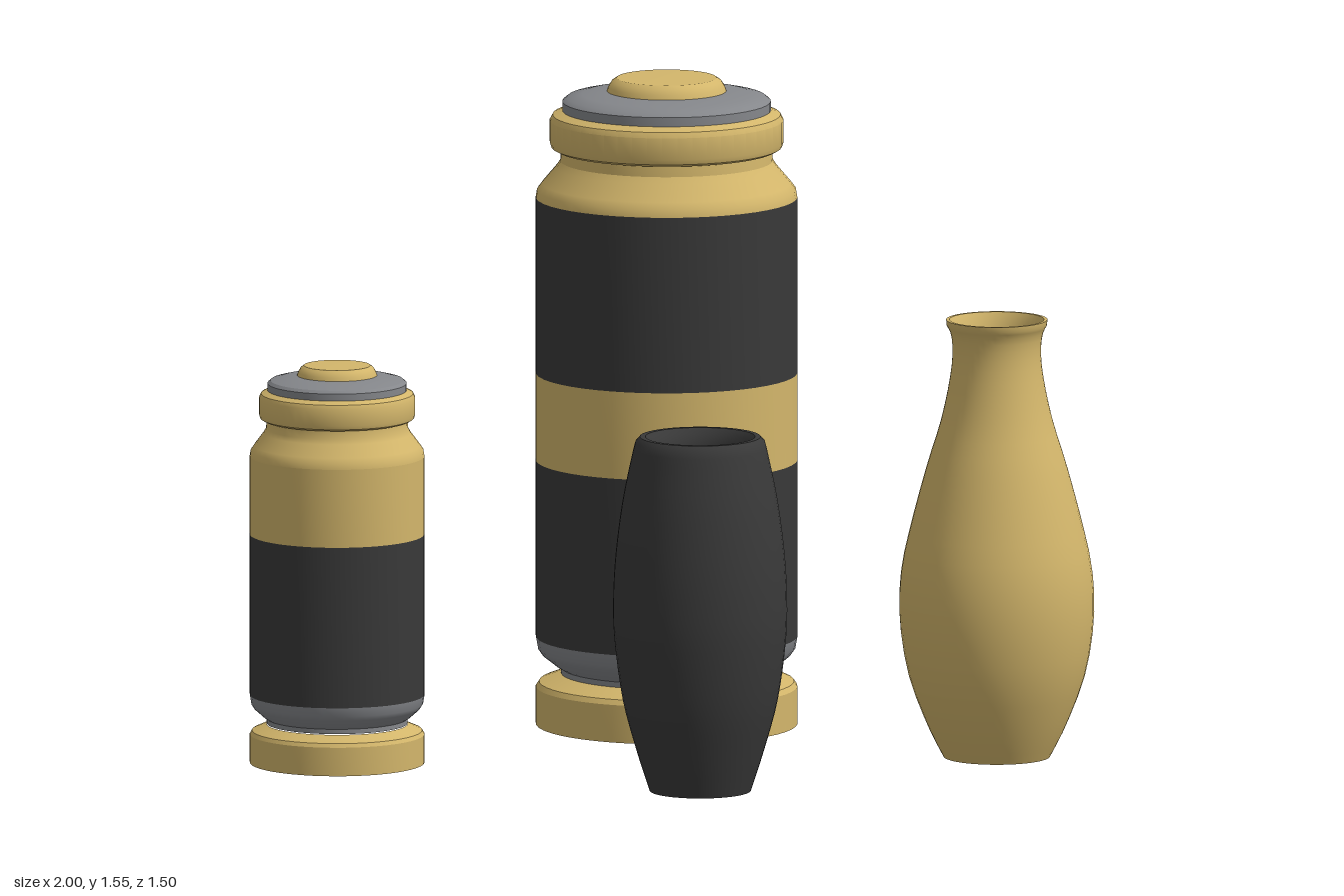
import * as THREE from 'three';
import { toCreasedNormals } from 'three/addons/utils/BufferGeometryUtils.js';

const material = (name, color, side = THREE.FrontSide) => {
  const m = new THREE.MeshStandardMaterial({ color, side });
  m.name = name;
  return m;
};

export function createModel() {
  const gold = material('gold', 0xd3b66b);
  const black = material('black', 0x393939);
  const grey = material('grey', 0x85878b);

  // Turned part from [radius, height] points, listed from the bottom up
  const turned = (name, mat, points, sides = 48) => {
    const profile = points.map(([r, y]) => new THREE.Vector2(r, y));
    const geometry = toCreasedNormals(new THREE.LatheGeometry(profile, sides), 0.5);
    const mesh = new THREE.Mesh(geometry, mat);
    mesh.name = name;
    return mesh;
  };

  // Group of turned parts standing at x, z
  const stand = (name, x, z, parts) => {
    const g = new THREE.Group();
    g.name = name;
    g.position.set(x, 0, z);
    g.add(...parts);
    return g;
  };

  // Lidded jar: r is the body radius, k scales the small heights,
  // bands lists [material, bottom, top] between foot and shoulder
  const jar = (name, x, z, r, k, foot, shoulder, bands) => {
    const a = r / 0.31;
    const at = (base, pts) => pts.map(([pr, py]) => [pr * a, base + py * k]);
    const lid = shoulder + 0.115 * k;
    return stand(name, x, z, [
      turned('base', gold, at(0, [[0, 0], [0.31, 0], [0.31, 0.09], [0.302, 0.102], [0.25, 0.122]])),
      turned('footRing', grey, at(foot, [[0.25, -0.09], [0.25, -0.075], [0.262, -0.068],
        [0.295, -0.042], [0.305, -0.028], [0.31, 0]])),
      ...bands.map(([mat, y0, y1], i) => turned('band' + (i + 1), mat, [[r, y0], [r, y1]])),
      turned('shoulder', gold, at(shoulder, [[0.31, 0], [0.307, 0.018], [0.295, 0.034],
        [0.262, 0.073], [0.252, 0.088], [0.25, 0.115]])),
      turned('lidRim', gold, at(lid, [[0.24, 0], [0.262, 0], [0.273, 0.006], [0.277, 0.018],
        [0.277, 0.07], [0.27, 0.083], [0.247, 0.093]])),
      turned('lidTop', grey, at(lid, [[0.247, 0.093], [0.247, 0.115], [0.236, 0.124],
        [0.2, 0.132], [0.14, 0.14], [0, 0.141]])),
      turned('knob', gold, at(lid, [[0.142, 0.139], [0.138, 0.15], [0.13, 0.163],
        [0.118, 0.171], [0, 0.172]])),
    ]);
  };

  // Smooth outer curve followed by the inner wall down to the floor
  const vase = (name, mat, x, z, outer, lip, wall, floor) => {
    const curve = new THREE.SplineCurve(outer.map(([r, y]) => new THREE.Vector2(r, y)));
    const skin = curve.getPoints(28).map((p) => [p.x, p.y]);
    const inside = skin.filter(([, y]) => y > floor && y < lip[lip.length - 1][1] - 0.02)
      .reverse().map(([r, y]) => [r - wall, y]);
    return stand(name, x, z, [
      turned('vaseBody', mat, [[0, 0], ...skin, ...lip, ...inside,
        [inside[inside.length - 1][0], floor], [0, floor]]),
    ]);
  };

  const model = new THREE.Group();
  model.name = 'vasesAndJars';
  model.add(
    jar('largeJar', 0.036, -0.44, 0.31, 1, 0.21, 1.263,
      [[black, 0.21, 0.633], [gold, 0.633, 0.842], [black, 0.842, 1.263]]),
    jar('smallJar', -0.793, 0.055, 0.207, 0.76, 0.163, 0.735,
      [[black, 0.163, 0.548], [gold, 0.548, 0.735]]),
    vase('goldVase', gold, 0.77, 0.112,
      [[0.126, 0], [0.166, 0.08], [0.21, 0.2], [0.23, 0.33], [0.226, 0.45], [0.2, 0.57],
        [0.165, 0.7], [0.134, 0.8], [0.114, 0.89], [0.105, 0.96], [0.108, 1.01], [0.119, 1.035]],
      [[0.12, 1.048], [0.112, 1.048], [0.098, 1.02], [0.093, 0.98]], 0.018, 0.03),
    vase('blackVase', black, 0.025, 0.544,
      [[0.12, 0], [0.152, 0.1], [0.184, 0.22], [0.203, 0.36], [0.206, 0.46], [0.2, 0.57],
        [0.183, 0.7], [0.158, 0.82]],
      [[0.153, 0.838], [0.143, 0.849], [0.13, 0.849], [0.118, 0.835], [0.11, 0.81], [0.107, 0.77]],
      0.055, 0.03),
  );
  return model;
}
